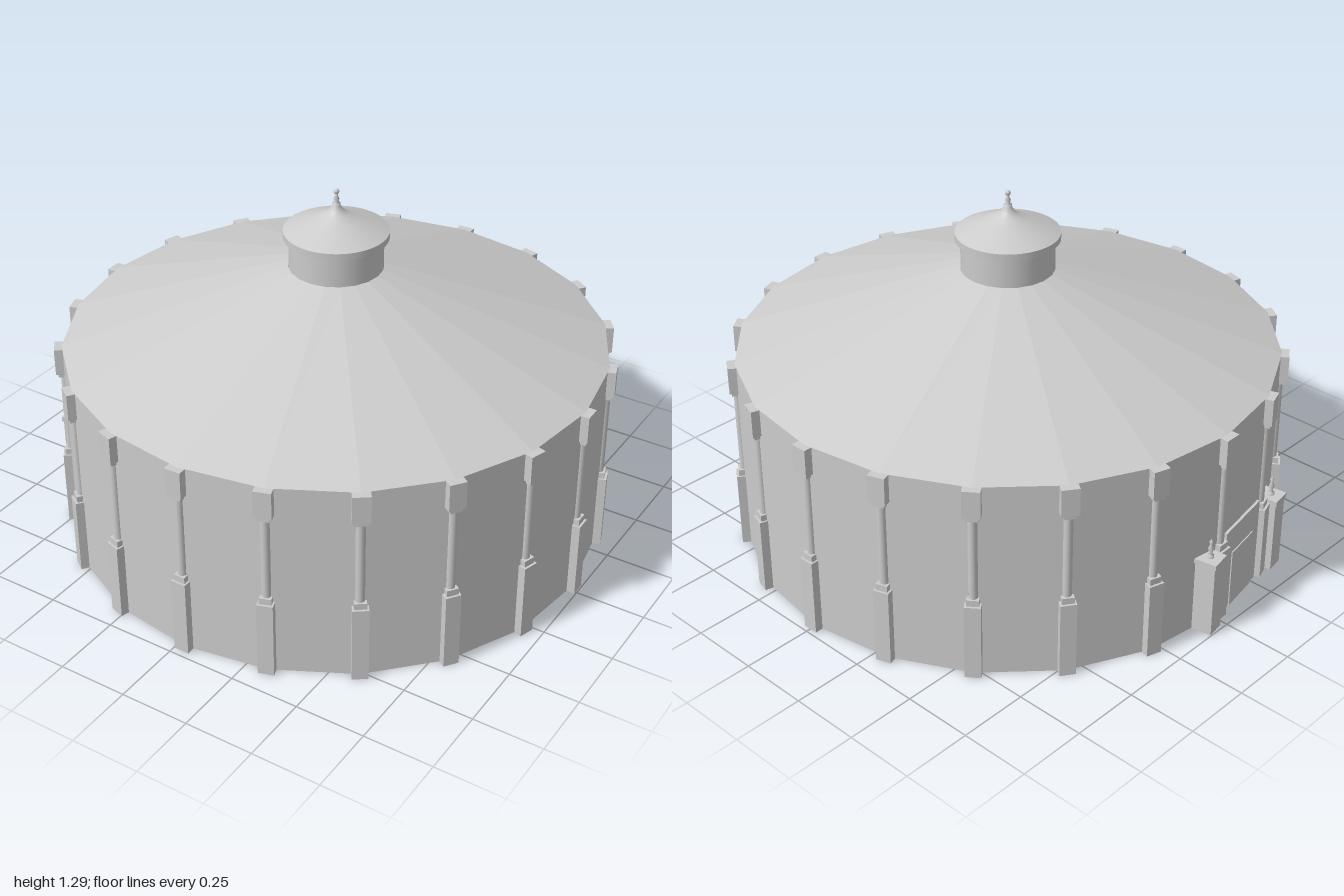
import * as THREE from 'three';

const SIDES = 20, STEP = (Math.PI * 2) / SIDES, TURN = 0.0157;
const R = 0.955, EAVE = 0.72, BASE = 0.28, CAP = 0.62;
const HALF = R * Math.sin(STEP / 2), APOTHEM = R * Math.cos(STEP / 2);

export function createModel() {
  const model = new THREE.Group();
  model.name = 'roundhouse';
  const flat = new THREE.MeshStandardMaterial({ color: 0xcccccc, flatShading: true, side: THREE.DoubleSide });
  const smooth = new THREE.MeshStandardMaterial({ color: 0xcccccc, side: THREE.DoubleSide });

  function add(parent, name, geometry, material = flat) {
    const mesh = new THREE.Mesh(geometry, material);
    mesh.name = name;
    parent.add(mesh);
    return mesh;
  }

  // Box between two heights and two depths, without its back face
  function shell(width, y0, y1, z0, z1, x = 0) {
    const g = new THREE.BoxGeometry(width, y1 - y0, z1 - z0);
    g.setIndex(Array.from(g.index.array).slice(0, 30));
    g.clearGroups();
    return g.translate(x, (y0 + y1) / 2, (z0 + z1) / 2);
  }

  function groupAt(name, angle) {
    const g = new THREE.Group();
    g.name = name;
    g.rotation.y = angle;
    model.add(g);
    return g;
  }

  // Wall panel with stepped sides that leave room for the pilasters
  function panelGeometry(withDoor) {
    const b = HALF - 0.027, s = HALF - 0.016, c = HALF - 0.03;
    const half = [[b, 0], [b, BASE], [s, BASE], [s, CAP], [c, CAP], [c, EAVE]];
    const outline = [...half, ...half.slice().reverse().map(([x, y]) => [-x, y])];
    const shape = new THREE.Shape(outline.map(([x, y]) => new THREE.Vector2(x, y)));
    if (withDoor) {
      shape.holes.push(new THREE.Path([[-0.118, 0.003], [-0.118, 0.318], [0.118, 0.318], [0.118, 0.003]]
        .map(([x, y]) => new THREE.Vector2(x, y))));
    }
    return new THREE.ShapeGeometry(shape).translate(0, 0, APOTHEM);
  }

  const DOOR_BAY = 15;
  const panel = panelGeometry(false);
  const pilasterBase = shell(0.055, 0, BASE, 0.945, 0.98);
  const pilasterCap = shell(0.06, CAP, EAVE, 0.945, 0.98);
  const collarLow = shell(0.042, BASE, 0.303, 0.945, 0.972);
  const collarHigh = shell(0.042, 0.605, CAP, 0.945, 0.972);
  const shaft = new THREE.CylinderGeometry(0.016, 0.016, CAP - BASE, 10, 1, true, -Math.PI / 2, Math.PI)
    .translate(0, (CAP + BASE) / 2, 0.95);

  for (let i = 0; i < SIDES; i++) {
    const pilaster = groupAt('pilaster', TURN + i * STEP);
    add(pilaster, 'pilasterBase', pilasterBase);
    add(pilaster, 'pilasterCap', pilasterCap);
    add(pilaster, 'lowerCollar', collarLow);
    add(pilaster, 'upperCollar', collarHigh);
    add(pilaster, 'pilasterShaft', shaft, smooth);
    const bay = groupAt('wallBay', TURN + (i + 0.5) * STEP);
    add(bay, 'wallPanel', i === DOOR_BAY ? panelGeometry(true) : panel);
  }

  // Entrance: raised surround, door and two gate piers with small finials
  const entrance = groupAt('entrance', TURN + (DOOR_BAY + 0.5) * STEP);
  add(entrance, 'doorSurround', shell(0.24, 0, 0.32, APOTHEM, 0.953));
  add(entrance, 'door', shell(0.15, 0, 0.22, 0.953, 0.957));
  const finialProfile = [[0.012, 0], [0.012, 0.008], [0.005, 0.014], [0.01, 0.035], [0.004, 0.05], [0.007, 0.06], [0, 0.072]]
    .map(([x, y]) => new THREE.Vector2(x, y));
  for (const side of [-1, 1]) {
    add(entrance, 'gatePier', shell(0.068, 0, 0.27, 0.91, 0.983, side * 0.222));
    add(entrance, 'pierCap', shell(0.076, 0.27, 0.288, 0.906, 0.988, side * 0.222));
    add(entrance, 'pierFinial', new THREE.LatheGeometry(finialProfile, 10), smooth)
      .position.set(side * 0.222, 0.288, 0.947);
  }

  // Faceted conical roof
  const roof = add(model, 'roof', new THREE.CylinderGeometry(0.165, R, 1.0 - EAVE, SIDES, 1, true));
  roof.position.y = (1.0 + EAVE) / 2;
  roof.rotation.y = TURN;

  // Cupola drum, brim, swept roof and spire
  add(model, 'cupolaDrum', new THREE.CylinderGeometry(0.163, 0.163, 0.13, 48, 1, true), smooth).position.y = 1.05;
  add(model, 'cupolaBrim', new THREE.CylinderGeometry(0.182, 0.182, 0.024, 48, 1, true), smooth).position.y = 1.122;
  add(model, 'cupolaSoffit', new THREE.RingGeometry(0.16, 0.182, 48).rotateX(Math.PI / 2), smooth).position.y = 1.11;
  const sweep = [[0.182, 1.134], [0.13, 1.157], [0.08, 1.178], [0.045, 1.194], [0.025, 1.208], [0.014, 1.225],
    [0.014, 1.234], [0.007, 1.238], [0.01, 1.25], [0.005, 1.262], [0.004, 1.272]];
  add(model, 'cupolaRoof', new THREE.LatheGeometry(sweep.map(([x, y]) => new THREE.Vector2(x, y)), 48), smooth);
  add(model, 'spireBall', new THREE.SphereGeometry(0.01, 16, 10), smooth).position.y = 1.276;

  model.position.set(0.015, 0, -0.003);
  const root = new THREE.Group();
  root.name = 'building';
  root.add(model);
  return root;
}
